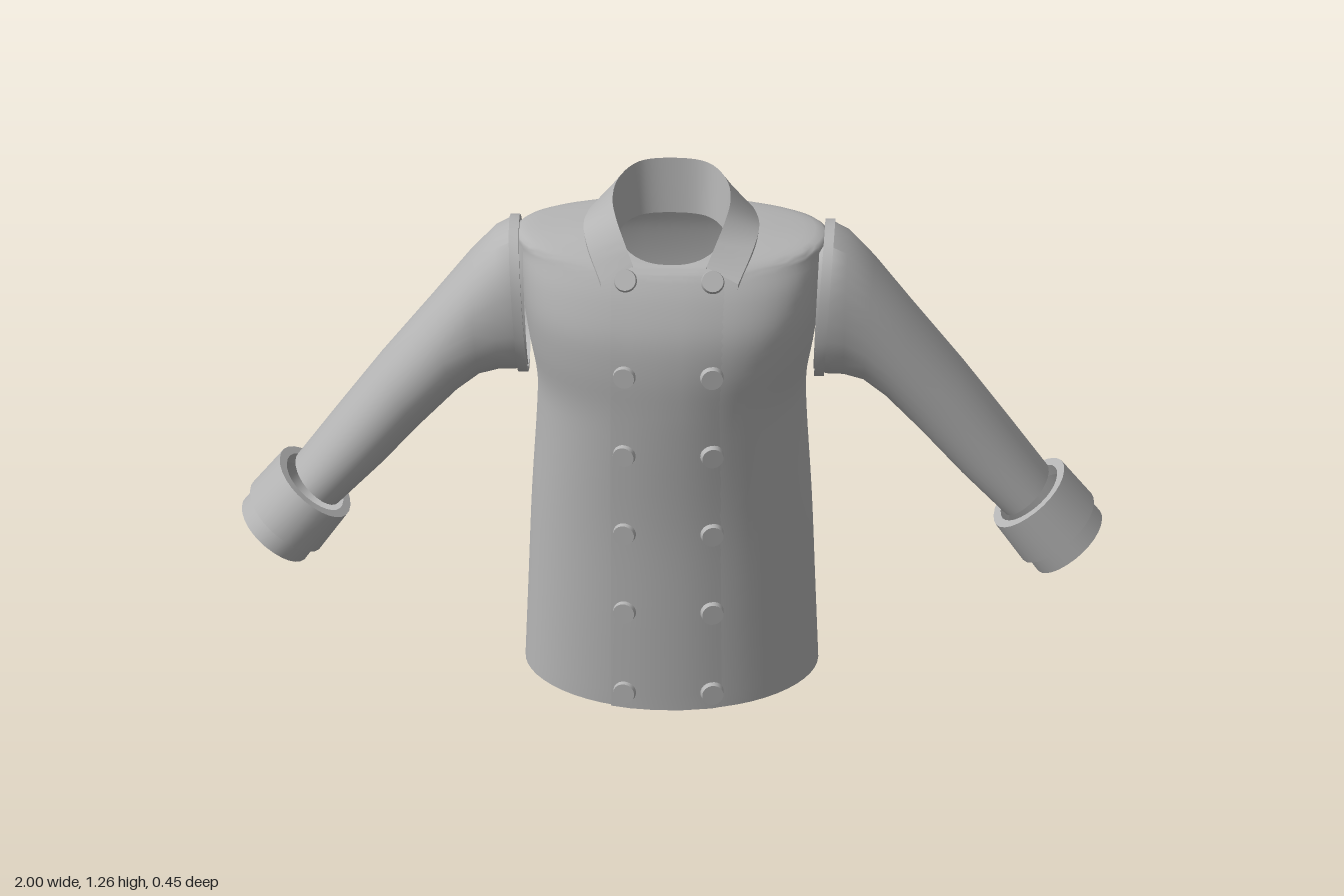
import * as THREE from 'three';
import { toCreasedNormals } from 'three/addons/utils/BufferGeometryUtils.js';

const cloth = new THREE.MeshStandardMaterial({ color: 0xb4b4b4, side: THREE.DoubleSide });
cloth.name = 'grey cloth';

// Skins a list of rows of points; closed rows wrap around
function loft(rows, closed = true, crease = 0.8) {
  const n = rows[0].length, pos = [], idx = [];
  rows.forEach(r => r.forEach(p => pos.push(p.x, p.y, p.z)));
  for (let j = 0; j < rows.length - 1; j++) {
    for (let i = 0; i < (closed ? n : n - 1); i++) {
      const k = (i + 1) % n, a = j * n + i, b = j * n + k;
      idx.push(a, a + n, b, b, a + n, b + n);
    }
  }
  const g = new THREE.BufferGeometry();
  g.setAttribute('position', new THREE.Float32BufferAttribute(pos, 3));
  g.setIndex(idx);
  return toCreasedNormals(g, crease);
}

function part(parent, name, geometry) {
  const m = new THREE.Mesh(geometry, cloth);
  m.name = name;
  parent.add(m);
  return m;
}

const power = (c, e) => Math.sign(c) * Math.abs(c) ** e;
const V = (x, y, z) => new THREE.Vector3(x, y, z);

// Torso sections: half width, front z, back z, y at front, side and back, roundness
const SECTIONS = [
  [0.34, 0.19, -0.215, 0, 0.03, 0, 0.9],
  [0.333, 0.192, -0.207, 0.22, 0.23, 0.22, 0.9],
  [0.325, 0.195, -0.196, 0.46, 0.46, 0.46, 0.9],
  [0.313, 0.208, -0.205, 0.68, 0.68, 0.68, 0.9],
  [0.313, 0.213, -0.213, 0.78, 0.78, 0.78, 0.88],
  [0.33, 0.214, -0.222, 0.88, 0.88, 0.88, 0.8],
  [0.343, 0.203, -0.222, 0.97, 0.97, 0.97, 0.74],
  [0.352, 0.172, -0.213, 1.05, 1.05, 1.05, 0.74],
  [0.356, 0.142, -0.2, 1.1, 1.11, 1.1, 0.8],
  [0.352, 0.126, -0.186, 1.115, 1.143, 1.14, 0.85],
  [0.25, 0.118, -0.172, 1.12, 1.157, 1.157, 0.85],
  [0.135, 0.11, -0.15, 1.122, 1.165, 1.165, 0.8],
];

// Section at v in 0..1, smoothly interpolated
function section(v) {
  const f = Math.min(v, 1) * (SECTIONS.length - 1), i = Math.min(Math.floor(f), SECTIONS.length - 2), t = f - i;
  const at = k => SECTIONS[Math.max(0, Math.min(SECTIONS.length - 1, k))];
  return SECTIONS[0].map((_, c) => {
    const p0 = at(i - 1)[c], p1 = at(i)[c], p2 = at(i + 1)[c], p3 = at(i + 2)[c];
    return p1 + 0.5 * t * (p2 - p0 + t * (2 * p0 - 5 * p1 + 4 * p2 - p3 + t * (3 * (p1 - p2) + p3 - p0)));
  });
}

function torsoPoint([w, zf, zb, yf, ys, yb, e], c, s) {
  const zEnd = s > 0 ? zf : zb, yEnd = s > 0 ? yf : yb, mid = -0.03;
  return V(w * power(c, e), ys + (yEnd - ys) * s * s, mid + (zEnd - mid) * Math.abs(s) ** e);
}

function torsoRing(sec, n = 56) {
  return Array.from({ length: n }, (_, i) => {
    const a = (i / n) * Math.PI * 2;
    return torsoPoint(sec, Math.cos(a), Math.sin(a));
  });
}

// Point on the front of the torso at a given x
function frontPoint(v, x) {
  const sec = section(v), r = Math.max(-0.98, Math.min(0.98, x / sec[0]));
  const c = power(r, 1 / sec[6]);
  return torsoPoint(sec, c, Math.sqrt(1 - c * c));
}

// Oval ring for sleeves: centre, half vector in the xy plane, half depth
function ovalRing(cx, cy, hx, hy, rz, zc, e = 1, n = 28) {
  return Array.from({ length: n }, (_, i) => {
    const a = (i / n) * Math.PI * 2, c = power(Math.cos(a), e);
    return V(cx + hx * c, cy + hy * c, zc + rz * power(Math.sin(a), e));
  });
}

// Sleeve stations: top x, top y, bottom x, bottom y, half depth
const SLEEVE = [
  [0.345, 1.135, 0.33, 0.8, 0.13], [0.375, 1.148, 0.36, 0.787, 0.133], [0.41, 1.128, 0.4, 0.785, 0.128],
  [0.47, 1.06, 0.445, 0.772, 0.122], [0.56, 0.945, 0.495, 0.727, 0.115], [0.68, 0.79, 0.575, 0.64, 0.107],
  [0.79, 0.637, 0.67, 0.53, 0.101], [0.875, 0.515, 0.77, 0.425, 0.099],
];

function makeSleeve(name) {
  const g = new THREE.Group();
  g.name = name;
  part(g, 'sleeve', loft(SLEEVE.map(([tx, ty, bx, by, rz], i) =>
    ovalRing((tx + bx) / 2, (ty + by) / 2, (tx - bx) / 2, (ty - by) / 2, rz, -0.036 - i * 0.001, i < 4 ? 0.85 : 0.95))));
  // Raised seam around the armhole
  part(g, 'armholeSeam', loft([[0.343, 0.97], [0.343, 1.03], [0.366, 1.03], [0.366, 0.97]].map(([x, k]) =>
    ovalRing(x, 0.967, 0.012 * k, 0.181 * k, 0.136 * k, -0.037, 0.85))));
  // Turned-back cuff and the sleeve end below it: distance along the arm, scale
  const cuffRings = list => loft(list.map(([t, k]) =>
    ovalRing(0.829 + 0.6 * t, 0.465 - 0.8 * t, 0.082 * k, 0.06 * k, 0.13 * k, -0.034, 0.95)), true, 0.6);
  part(g, 'cuff', cuffRings([[0, 0.8], [0, 1], [0.11, 1.04], [0.11, 0.88]]));
  part(g, 'sleeveEnd', cuffRings([[0.1, 0.92], [0.155, 0.94], [0.155, 0.85], [0.03, 0.8]]));
  return g;
}

// Mirrors half an edge (listed from the back centre) into a smooth full curve
function collarEdge(half) {
  const left = half.map(p => V(...p));
  const right = left.slice(1).reverse().map(p => V(-p.x, p.y, p.z));
  return new THREE.CatmullRomCurve3([...right, ...left]).getPoints(60);
}

export function createModel() {
  const jacket = new THREE.Group();
  jacket.name = 'jacket';

  // Body
  const steps = 44;
  part(jacket, 'torso', loft(Array.from({ length: steps + 1 }, (_, j) => torsoRing(section(j / steps)))));

  // Turned hem
  const hem = SECTIONS[0];
  const inset = (d, up) => [hem[0] - d, hem[1] - d, hem[2] + d, hem[3] + up, hem[4] + up, hem[5] + up, hem[6]];
  part(jacket, 'hem', loft([torsoRing(inset(0, 0)), torsoRing(inset(0.012, 0)), torsoRing(inset(0.014, 0.08))]));

  // Overlapping front panel with a step along one edge
  const columns = [[-0.135, -0.002], [-0.135, 0.006], [-0.09, 0.006], [-0.03, 0.006], [0.03, 0.005], [0.1, 0.003], [0.17, -0.003]];
  part(jacket, 'frontPanel', loft(Array.from({ length: 37 }, (_, j) => {
    const v = (j / 36) * 0.8;
    return columns.map(([x, d]) => frontPoint(v, x).add(V(0, 0, d)));
  }), false));

  // Two rows of buttons lying on the front
  const buttons = new THREE.Group();
  buttons.name = 'buttons';
  jacket.add(buttons);
  for (const y of [0.04, 0.25, 0.46, 0.67, 0.88, 1.095]) {
    for (const x of [-0.102, 0.1]) {
      let v = 0;
      while (v < 0.8 && frontPoint(v, x).y < y) v += 0.002;
      const p = frontPoint(v, x);
      const across = frontPoint(v, x + 0.01).sub(frontPoint(v, x - 0.01));
      const along = frontPoint(v + 0.01, x).sub(frontPoint(Math.max(0, v - 0.01), x));
      const normal = across.cross(along).normalize();
      const b = part(buttons, 'button', new THREE.CylinderGeometry(0.025, 0.028, 0.018, 20));
      b.position.copy(p).addScaledVector(normal, 0.008);
      b.quaternion.setFromUnitVectors(V(0, 1, 0), normal);
    }
  }

  // Folded collar: neckline, fold, outer edge, underside
  const neck = [[0, 1.13, -0.14], [0.075, 1.13, -0.125], [0.115, 1.13, -0.07], [0.122, 1.13, 0], [0.115, 1.125, 0.05], [0.1, 1.115, 0.09], [0.085, 1.105, 0.115]];
  const fold = [[0, 1.265, -0.155], [0.08, 1.262, -0.14], [0.125, 1.25, -0.08], [0.137, 1.235, 0], [0.127, 1.21, 0.05], [0.107, 1.17, 0.09], [0.085, 1.125, 0.125]];
  const fall = [[0, 1.172, -0.193], [0.1, 1.172, -0.18], [0.172, 1.172, -0.12], [0.2, 1.172, -0.04], [0.203, 1.17, 0.03], [0.19, 1.148, 0.09], [0.16, 1.095, 0.15]];
  const under = fall.map(([x, y, z]) => [x * 0.99, y - 0.016, z * 0.98]);
  part(jacket, 'collar', loft([neck, fold, fall, under].map(collarEdge), false));

  // Sleeves
  jacket.add(makeSleeve('leftSleeve'));
  const right = makeSleeve('rightSleeve');
  right.scale.x = -1;
  jacket.add(right);

  return jacket;
}
